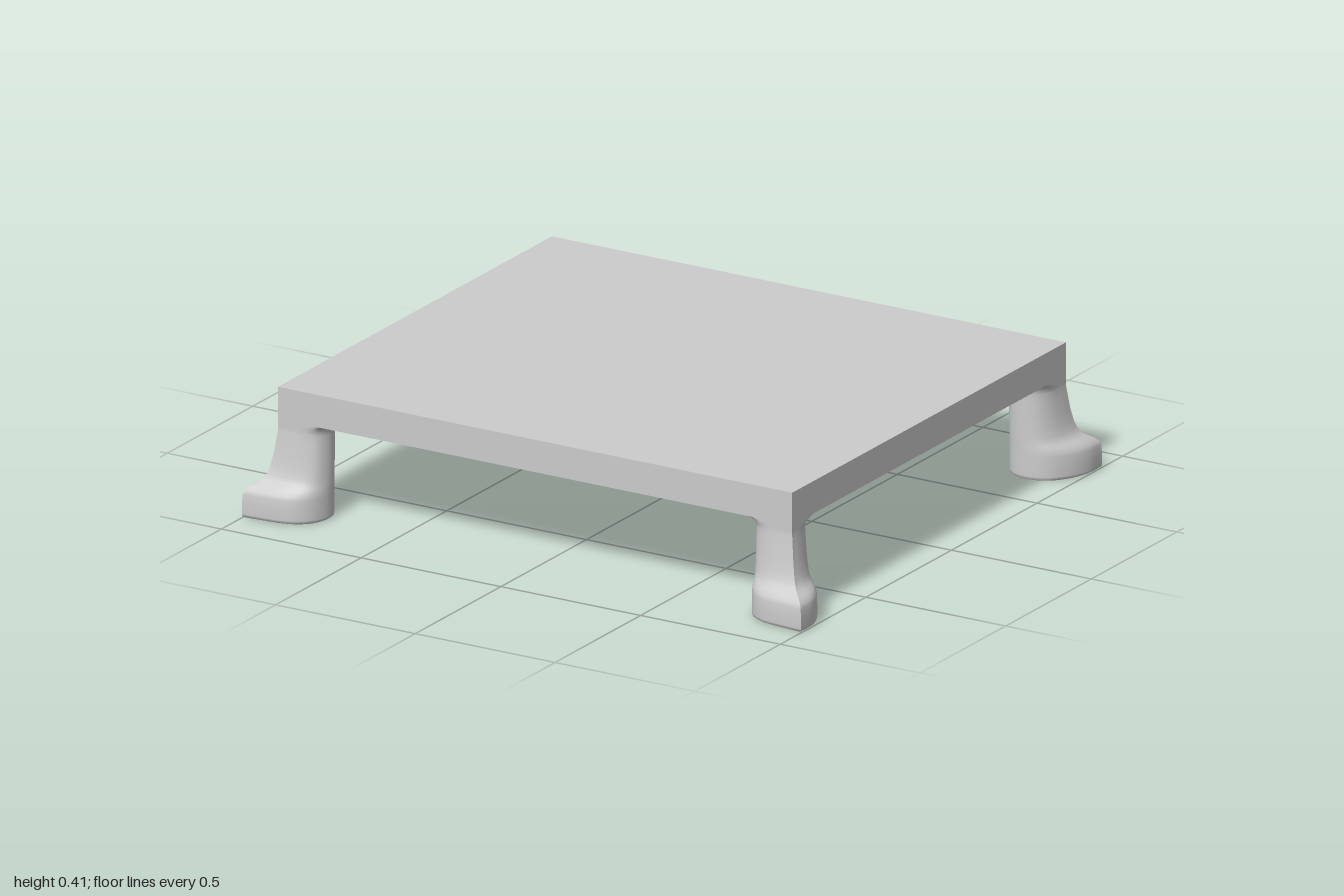
import * as THREE from 'three';

const HALF_X = 0.92, HALF_Z = 0.80, TOP = 0.415, UNDERSIDE = 0.31;
const CENTRE = [0.845, 0.74];
const STEPS = 40;

// Smooth outline in x/z that starts and ends at a sharp outer corner
const outline = (pts) => new THREE.CatmullRomCurve3(
  pts.map(([x, z]) => new THREE.Vector3(x, 0, z))).getPoints(STEPS);

const legOutline = outline([
  [0.92, 0.80], [0.92, 0.765], [0.912, 0.715], [0.888, 0.68], [0.845, 0.665],
  [0.792, 0.683], [0.765, 0.735], [0.785, 0.785], [0.835, 0.80], [0.92, 0.80]]);
const footOutline = outline([
  [1.0, 0.88], [0.998, 0.805], [0.97, 0.735], [0.92, 0.682], [0.845, 0.665],
  [0.787, 0.69], [0.765, 0.745], [0.785, 0.815], [0.84, 0.86], [1.0, 0.88]]);

// Rings from floor to underside: [height, foot amount, outward growth]
const RINGS = [
  [0, 0.95, -0.006], [0.004, 0.99, -0.001], [0.012, 1, 0], [0.045, 1, 0], [0.075, 0.98, 0],
  [0.088, 0.91, 0], [0.1, 0.77, 0], [0.11, 0.58, 0], [0.12, 0.43, 0], [0.135, 0.32, 0],
  [0.16, 0.22, 0], [0.2, 0.12, 0], [0.25, 0.04, 0], [0.275, 0, 0],
  [0.287, 0, 0.002], [0.297, 0, 0.007], [0.305, 0, 0.016], [UNDERSIDE, 0, 0.03]];

function legGeometry(sx, sz) {
  const pos = [], idx = [], n = STEPS + 1;
  const tri = (a, b, c) => (sx * sz > 0 ? idx.push(a, b, c) : idx.push(a, c, b));
  const addRing = ([y, foot, grow]) => {
    for (let i = 0; i < n; i++) {
      const p = legOutline[i].clone().lerp(footOutline[i], foot);
      const dx = p.x - CENTRE[0], dz = p.z - CENTRE[1], d = Math.hypot(dx, dz);
      p.x += dx / d * grow;
      p.z += dz / d * grow;
      // The upper leg stays flush with the sides of the top
      if (foot === 0) {
        p.x = Math.min(p.x, HALF_X);
        p.z = Math.min(p.z, HALF_Z);
      }
      pos.push(sx * p.x, y, sz * p.z);
    }
  };
  RINGS.forEach(addRing);
  for (let r = 0; r < RINGS.length - 1; r++) {
    for (let i = 0; i < STEPS; i++) {
      const a = r * n + i, b = a + n;
      tri(a, a + 1, b + 1);
      tri(a, b + 1, b);
    }
  }
  // Flat sole with its own vertices
  const base = pos.length / 3;
  addRing(RINGS[0]);
  const c = pos.length / 3;
  pos.push(sx * CENTRE[0], 0, sz * CENTRE[1]);
  for (let i = 0; i < STEPS; i++) tri(c, base + i + 1, base + i);

  const g = new THREE.BufferGeometry();
  g.setAttribute('position', new THREE.Float32BufferAttribute(pos, 3));
  g.setIndex(idx);
  g.computeVertexNormals();
  return g;
}

export function createModel() {
  const group = new THREE.Group();
  group.name = 'lowTable';
  const material = new THREE.MeshStandardMaterial({ color: 0xcccccc });

  // Table top
  const top = new THREE.Mesh(
    new THREE.BoxGeometry(HALF_X * 2, TOP - UNDERSIDE, HALF_Z * 2), material);
  top.position.y = (TOP + UNDERSIDE) / 2;
  top.name = 'tableTop';
  group.add(top);

  // Four legs with feet flaring out along the diagonals
  for (const sx of [1, -1]) {
    for (const sz of [1, -1]) {
      const leg = new THREE.Mesh(legGeometry(sx, sz), material);
      leg.name = (sz > 0 ? 'front' : 'back') + (sx > 0 ? 'Left' : 'Right') + 'Leg';
      group.add(leg);
    }
  }
  return group;
}
